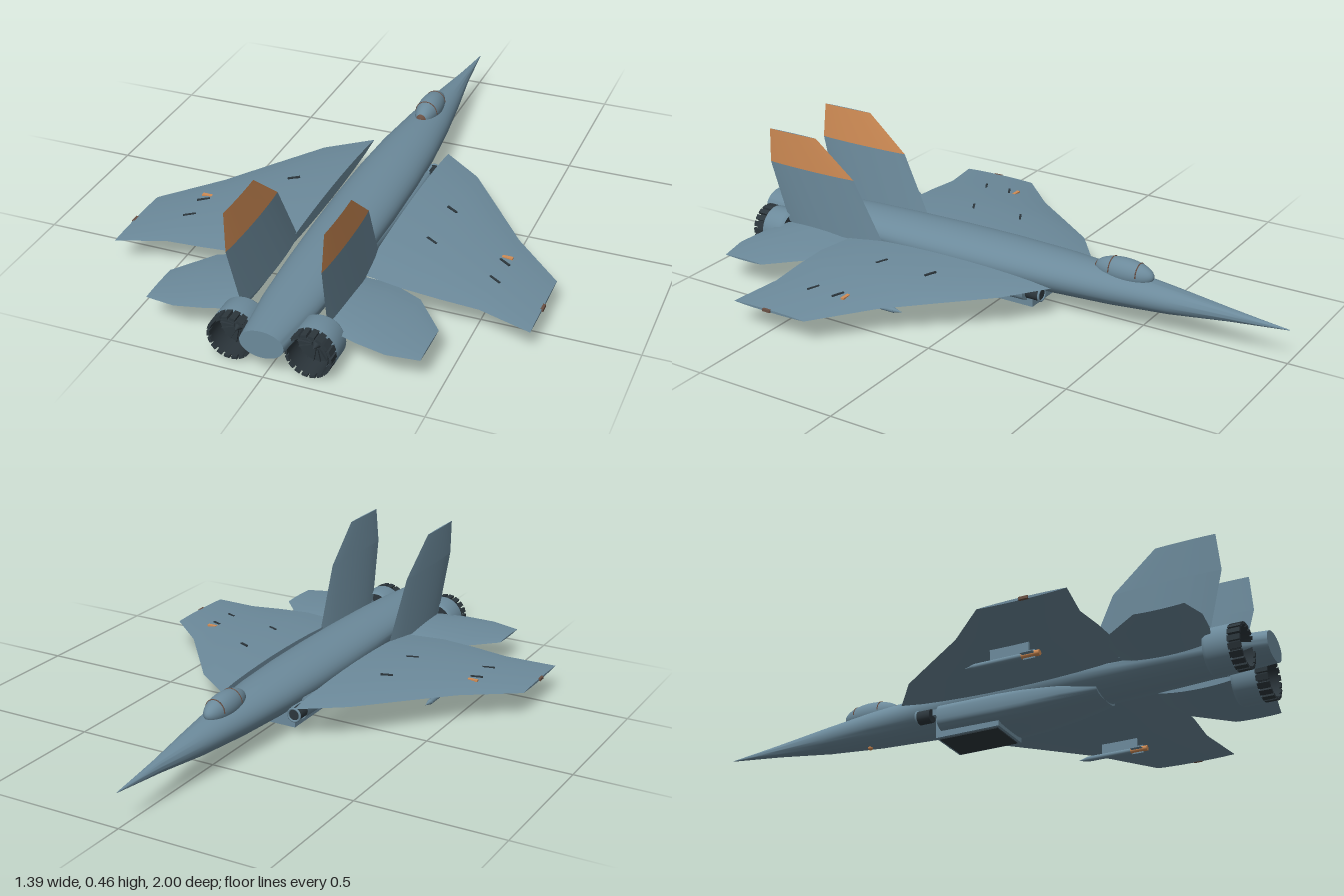
import * as THREE from 'three';
import { toCreasedNormals } from 'three/addons/utils/BufferGeometryUtils.js';

const paint = (name, color, side = THREE.FrontSide) => {
  const m = new THREE.MeshStandardMaterial({ color, side });
  m.name = name;
  return m;
};

// Skin over closed rings with flat end caps; group 0 is the first half of each ring, group 1 the rest
function loft(rings, crease = 0.6) {
  const n = rings[0].length, pos = rings.flat(2), idx = [];
  const half = n / 2;
  for (let j = 0; j < n; j++) {
    const k = (j + 1) % n;
    for (let i = 0; i < rings.length - 1; i++) {
      const a = i * n + j, b = i * n + k, c = a + n, d = b + n;
      idx.push(a, b, d, a, d, c);
    }
  }
  const last = (rings.length - 1) * n;
  for (let j = 1; j < n - 1; j++) idx.push(0, j + 1, j, last, last + j, last + j + 1);
  // turn the faces outward
  let volume = 0;
  const P = i => new THREE.Vector3(pos[3 * i], pos[3 * i + 1], pos[3 * i + 2]);
  for (let i = 0; i < idx.length; i += 3) volume += P(idx[i]).dot(P(idx[i + 1]).cross(P(idx[i + 2])));
  if (volume < 0) for (let i = 0; i < idx.length; i += 3) [idx[i], idx[i + 1]] = [idx[i + 1], idx[i]];
  const g = new THREE.BufferGeometry();
  g.setAttribute('position', new THREE.Float32BufferAttribute(pos, 3));
  g.setIndex(idx);
  const split = half * (rings.length - 1) * 6;
  g.addGroup(0, split, 0);
  g.addGroup(split, idx.length - split, 1);
  return toCreasedNormals(g, crease);
}

// Lens-shaped section from leading edge z0 to trailing edge z1
function lens(z0, z1, thick, place, n = 10) {
  const ring = [];
  for (let k = 0; k < 2 * n; k++) {
    const t = k <= n ? k / n : 2 - k / n;
    const h = 0.5 * thick * Math.pow(Math.max(0, 4 * t * (1 - t)), 0.8) * (k <= n ? 1 : -1);
    ring.push(place(h, z0 + (z1 - z0) * t));
  }
  return ring;
}

// Rows: z, half width, bottom y, top y, y of widest point
const hull = (rows, n = 40, power = 1) => loft(rows.map(([z, w, lo, hi, mid]) => {
  const soft = v => Math.sign(v) * Math.pow(Math.abs(v), power);
  return Array.from({ length: n }, (_, k) => {
    const a = k / n * Math.PI * 2, s = soft(Math.sin(a));
    return [w * soft(Math.cos(a)), mid + s * (s > 0 ? hi - mid : mid - lo), z];
  });
}));

export function createModel() {
  const model = new THREE.Group();
  const blue = paint('greyBlue', 0x6c8a9b);
  const blueShell = paint('greyBlueShell', 0x6c8a9b, THREE.DoubleSide);
  const orange = paint('orange', 0xd08c55);
  const dark = paint('darkMetal', 0x2c363c, THREE.DoubleSide);
  const brown = paint('frameBrown', 0x6a5044);
  const add = (parent, name, geo, mat, x = 0, y = 0, z = 0) => {
    const m = new THREE.Mesh(geo, mat);
    m.name = name;
    m.position.set(x, y, z);
    parent.add(m);
    return m;
  };

  // Fuselage, needle nose at -z
  add(model, 'fuselage', hull([
    [-1, 0.001, 0.124, 0.126, 0.125], [-0.9, 0.011, 0.114, 0.136, 0.125],
    [-0.8, 0.021, 0.104, 0.147, 0.125], [-0.6, 0.051, 0.08, 0.168, 0.125],
    [-0.4, 0.078, 0.066, 0.186, 0.128], [-0.2, 0.098, 0.06, 0.196, 0.13],
    [0, 0.108, 0.058, 0.2, 0.13], [0.2, 0.111, 0.058, 0.2, 0.13],
    [0.4, 0.109, 0.062, 0.197, 0.13], [0.6, 0.103, 0.068, 0.192, 0.13],
    [0.8, 0.092, 0.075, 0.183, 0.13], [1, 0.07, 0.08, 0.172, 0.127],
  ]), blue);

  // Belly fairing and equipment bay
  add(model, 'bellyFairing', hull([
    [-0.11, 0.117, 0.03, 0.13, 0.08], [0.1, 0.117, 0.026, 0.13, 0.08],
    [0.2, 0.112, 0.031, 0.13, 0.08], [0.32, 0.1, 0.045, 0.12, 0.085],
    [0.44, 0.075, 0.062, 0.11, 0.09],
  ], 40, 0.6), blue);
  add(model, 'bellyBay', new THREE.BoxGeometry(0.165, 0.07, 0.23), blue, 0, 0.049, -0.015);
  add(model, 'bayFloor', new THREE.BoxGeometry(0.145, 0.006, 0.21), dark, 0, 0.013, -0.015);
  add(model, 'bellyLight', new THREE.SphereGeometry(0.009, 12, 8), orange, 0, 0.068, -0.43);

  // Canopy with frames and rear fairing
  const canopy = new THREE.Group();
  canopy.name = 'canopy';
  canopy.position.set(0, 0.185, -0.425);
  model.add(canopy);
  const bubble = (cut, len) => new THREE.SphereGeometry(1, 28, 20, 0, Math.PI * 2, cut, len)
    .rotateX(Math.PI / 2).scale(0.042, 0.045, 0.106);
  add(canopy, 'canopyGlass', bubble(0.45, Math.PI - 0.45), blue);
  add(canopy, 'canopyRear', bubble(0, 0.45), brown);
  for (const d of [-0.056, 0.04]) {
    const s = Math.sqrt(1 - (d / 0.106) ** 2);
    add(canopy, 'canopyFrame', new THREE.TorusGeometry(0.042 * s, 0.002, 6, 24, Math.PI).scale(1, 1.07, 1),
      brown, 0, 0, d);
  }

  // Flying surfaces: rows are x, leading z, trailing z, y, thickness
  const panel = rows => loft(rows.map(([x, a, b, y, t]) => lens(a, b, t, (h, z) => [x, y + h, z])));
  const wing = panel([
    [0.137, -0.23, 0.565, 0.128, 0.044], [0.28, -0.12, 0.59, 0.126, 0.042], [0.4, 0.03, 0.592, 0.118, 0.034],
    [0.52, 0.18, 0.588, 0.109, 0.024], [0.69, 0.34, 0.625, 0.095, 0.008],
  ]);
  const tail = panel([
    [0.137, 0.56, 0.85, 0.118, 0.03], [0.24, 0.56, 0.88, 0.114, 0.025],
    [0.34, 0.6, 0.895, 0.108, 0.018], [0.44, 0.72, 0.877, 0.102, 0.006],
  ]);
  const nozzleProfile = [[0.066, 0], [0.075, 0.012], [0.075, 0.08], [0.068, 0.084], [0.064, 0.08], [0.062, 0.012], [0.066, 0]];
  const nozzle = new THREE.LatheGeometry(nozzleProfile.map(p => new THREE.Vector2(...p)), 36).rotateX(Math.PI / 2);

  for (const side of [1, -1]) {
    const half = new THREE.Group();
    half.name = side > 0 ? 'leftSide' : 'rightSide';
    half.scale.x = side;
    model.add(half);
    add(half, 'wing', wing, blue);
    add(half, 'tailplane', tail, blue);

    // Slot markings and lights on the wing
    for (const [x, z, y] of [[0.28, 0.14, 0.147], [0.28, 0.335, 0.145], [0.52, 0.335, 0.121], [0.52, 0.435, 0.12]])
      add(half, 'wingSlot', new THREE.BoxGeometry(0.042, 0.006, 0.007), dark, x, y, z).rotation.set(0, -0.5, -0.08);
    add(half, 'wingLight', new THREE.BoxGeometry(0.035, 0.006, 0.012), orange, 0.52, 0.12, 0.305);
    add(half, 'tipLight', new THREE.BoxGeometry(0.009, 0.009, 0.03), brown, 0.69, 0.095, 0.49);

    // Missile on a pylon
    add(half, 'pylon', new THREE.BoxGeometry(0.01, 0.045, 0.13), blue, 0.418, 0.083, 0.31);
    add(half, 'missileBody', new THREE.CylinderGeometry(0.009, 0.009, 0.16, 14).rotateX(Math.PI / 2), blue, 0.418, 0.06, 0.27);
    add(half, 'missileNose', new THREE.ConeGeometry(0.009, 0.035, 14).rotateX(-Math.PI / 2), blue, 0.418, 0.06, 0.173);
    add(half, 'missileTail', new THREE.CylinderGeometry(0.0095, 0.0095, 0.06, 14).rotateX(Math.PI / 2), orange, 0.418, 0.06, 0.38);
    add(half, 'missileFinFlat', new THREE.BoxGeometry(0.05, 0.003, 0.04), blue, 0.418, 0.06, 0.375);
    add(half, 'missileFinUpright', new THREE.BoxGeometry(0.003, 0.028, 0.04), blue, 0.418, 0.06, 0.375);

    // Small side intake tube beside the bay
    add(half, 'sideTube', new THREE.CylinderGeometry(0.023, 0.023, 0.05, 20).rotateX(Math.PI / 2), dark, 0.108, 0.083, -0.155);
    add(half, 'tubeRim', new THREE.TorusGeometry(0.022, 0.004, 8, 20), blue, 0.108, 0.083, -0.18);
    add(half, 'tubeStrut', new THREE.BoxGeometry(0.025, 0.02, 0.08), blue, 0.095, 0.095, -0.13);

    // Engine nozzle: shell, spoked disc, ring of petals
    const engine = new THREE.Group();
    engine.name = 'engineNozzle';
    engine.position.set(0.125, 0.086, 0.835);
    half.add(engine);
    add(engine, 'nozzleShell', nozzle, blueShell);
    add(engine, 'nozzleLining', new THREE.CylinderGeometry(0.061, 0.061, 0.11, 32, 1, true).rotateX(Math.PI / 2), dark, 0, 0, 0.062);
    add(engine, 'turbineDisc', new THREE.CylinderGeometry(0.061, 0.061, 0.006, 32).rotateX(Math.PI / 2), dark, 0, 0, 0.05);
    add(engine, 'turbineHub', new THREE.ConeGeometry(0.014, 0.03, 16).rotateX(Math.PI / 2), dark, 0, 0, 0.068);
    for (let k = 0; k < 18; k++) {
      const a = k / 18 * Math.PI * 2;
      const spoke = add(engine, 'turbineBlade', new THREE.BoxGeometry(0.046, 0.003, 0.008), dark,
        0.037 * Math.cos(a), 0.037 * Math.sin(a), 0.056);
      spoke.rotation.z = a;
      const petal = add(engine, 'nozzlePetal', new THREE.BoxGeometry(0.009, 0.018, 0.05), dark,
        0.069 * Math.cos(a), 0.069 * Math.sin(a), 0.096);
      petal.rotation.z = a;
    }

    // Tail fin, orange on the upper part of its +x face; rows are y, leading z, trailing z, x, thickness
    const fin = rows => loft(rows.map(([y, a, b, x, t]) => lens(a, b, t, (h, z) => [side * x + h, y, z])));
    const joint = [0.345, 0.54, 0.9, 0.15, 0.014];
    add(model, 'finLower', fin([[0.125, 0.43, 0.84, 0.138, 0.03], joint]), blue);
    add(model, 'finUpper', fin([joint, [0.47, 0.69, 0.89, 0.156, 0.005]]), [orange, blue]);
  }
  return model;
}
